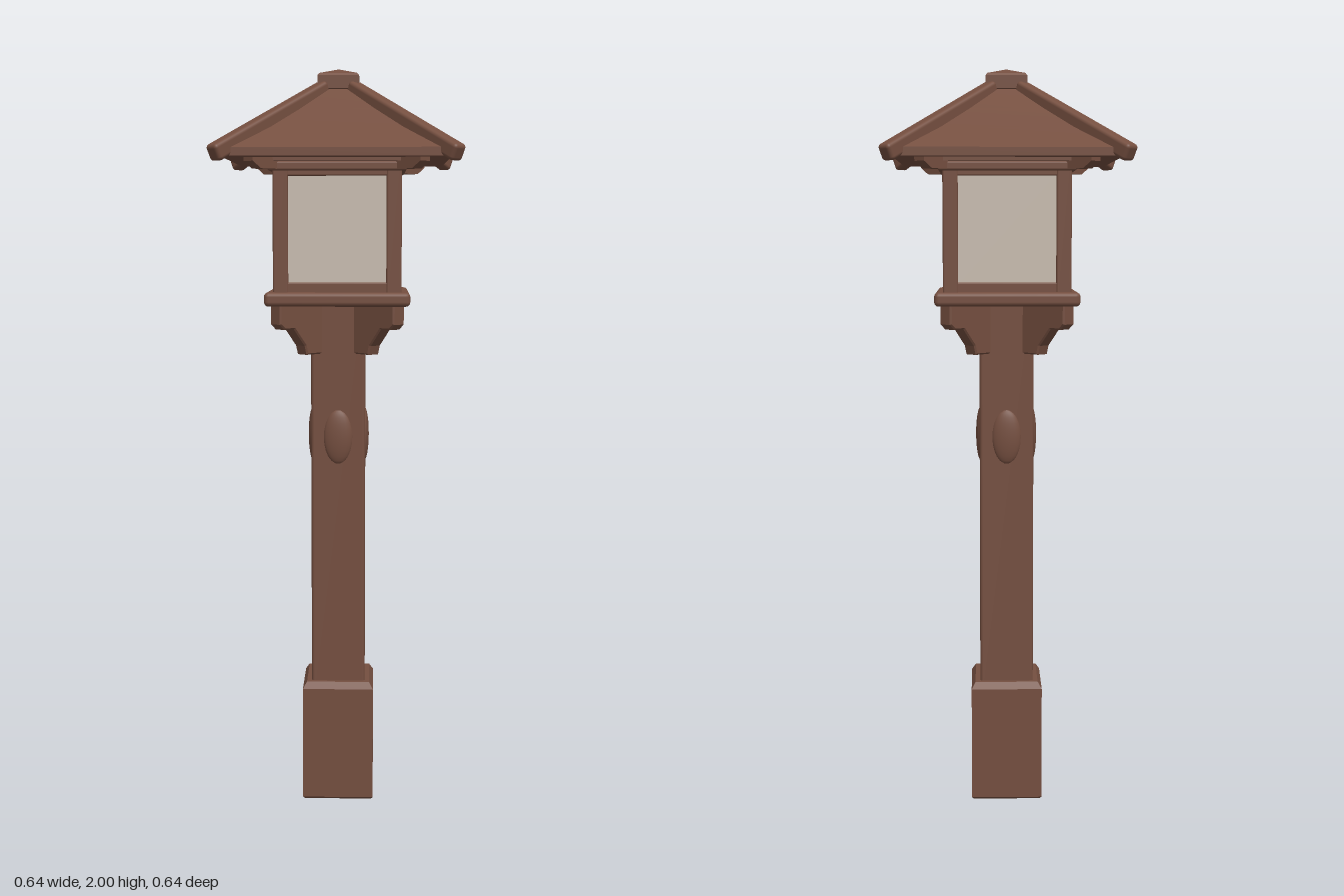
import * as THREE from 'three';
import { RoundedBoxGeometry } from 'three/addons/geometries/RoundedBoxGeometry.js';
import { toCreasedNormals } from 'three/addons/utils/BufferGeometryUtils.js';

export function createModel() {
  const model = new THREE.Group();
  model.name = 'lanternPost';

  const wood = new THREE.MeshStandardMaterial({ color: 0x754f40 });
  wood.name = 'brown wood';
  const paper = new THREE.MeshStandardMaterial({ color: 0xc9bdb0 });
  paper.name = 'pale panel';

  const add = (name, geometry, parent = model, material = wood) => {
    const mesh = new THREE.Mesh(geometry, material);
    mesh.name = name;
    parent.add(mesh);
    return mesh;
  };
  // Soft-edged box between two heights
  const block = (name, w, d, y0, y1, r, parent) => {
    const mesh = add(name, new RoundedBoxGeometry(w, y1 - y0, d, 2, r), parent);
    mesh.position.y = (y0 + y1) / 2;
    return mesh;
  };
  // Square ring surface from a profile of [half width, height], listed bottom to top on the outside
  const squareLathe = (profile) => {
    const points = profile.map(([h, y]) => new THREE.Vector2(h * Math.SQRT2, y));
    return toCreasedNormals(new THREE.LatheGeometry(points, 4, Math.PI / 4), 0.35);
  };

  // Foot and post
  add('foot', squareLathe([
    [0, 0], [0.092, 0], [0.097, 0.006], [0.097, 0.318], [0.086, 0.336], [0, 0.336],
  ]));
  block('post', 0.146, 0.146, 0.3, 1.39, 0.008);

  // Low swellings on the post faces
  for (let i = 0; i < 4; i++) {
    const a = i * Math.PI / 2;
    const knot = add('postKnot', new THREE.SphereGeometry(1, 20, 12));
    knot.scale.set(0.04, 0.075, i % 2 ? 0.013 : 0.015);
    knot.position.set(Math.sin(a) * 0.07, 1.02, Math.cos(a) * 0.07);
    knot.rotation.y = a;
  }

  // Diagonal brackets under the platform
  const bracketShape = new THREE.Shape();
  bracketShape.moveTo(0.05, 1.39);
  bracketShape.lineTo(0.226, 1.39);
  bracketShape.lineTo(0.226, 1.332);
  bracketShape.lineTo(0.212, 1.32);
  bracketShape.lineTo(0.178, 1.32);
  bracketShape.quadraticCurveTo(0.162, 1.3, 0.138, 1.272);
  bracketShape.lineTo(0.132, 1.25);
  bracketShape.lineTo(0.05, 1.25);
  bracketShape.closePath();
  const bracketGeo = new THREE.ExtrudeGeometry(bracketShape, {
    depth: 0.034, bevelEnabled: true, bevelSize: 0.004, bevelThickness: 0.004, bevelSegments: 1,
  }).translate(0, 0, -0.017);

  // Rafter tails under the roof corners
  const tailShape = new THREE.Shape();
  tailShape.moveTo(0.16, 1.732);
  tailShape.lineTo(0.29, 1.732);
  tailShape.lineTo(0.318, 1.75);
  tailShape.lineTo(0.318, 1.79);
  tailShape.lineTo(0.16, 1.85);
  tailShape.closePath();
  const tailGeo = new THREE.ExtrudeGeometry(tailShape, { depth: 0.036, bevelEnabled: false })
    .translate(0, 0, -0.018);

  // Ridge poles, running down from the cap past the eave corners
  const top = new THREE.Vector3(0.05, 1.947, 0);
  const tip = new THREE.Vector3(0.434, 1.764, 0);
  const ridgeLength = top.distanceTo(tip);
  const ridgeGeo = new RoundedBoxGeometry(ridgeLength, 0.044, 0.042, 3, 0.01);

  for (let i = 0; i < 4; i++) {
    const corner = new THREE.Group();
    corner.name = 'corner';
    corner.rotation.y = Math.PI / 4 + i * Math.PI / 2;
    model.add(corner);
    add('bracket', bracketGeo, corner);
    add('rafterTail', tailGeo, corner);
    const ridge = add('ridgePole', ridgeGeo, corner);
    ridge.position.copy(top).lerp(tip, 0.5);
    ridge.rotation.z = Math.atan2(tip.y - top.y, tip.x - top.x);
  }

  // Platform
  block('platform', 0.382, 0.382, 1.378, 1.415, 0.012);

  // Lantern box: pale panels in a wooden frame
  const lantern = new THREE.Group();
  lantern.name = 'lantern';
  model.add(lantern);
  for (let i = 0; i < 4; i++) {
    const side = new THREE.Group();
    side.name = 'lanternSide';
    side.rotation.y = i * Math.PI / 2;
    lantern.add(side);
    const panel = add('panel', new THREE.BoxGeometry(0.27, 0.3, 0.008), side, paper);
    panel.position.set(0, 1.577, 0.156);
    block('lowerRail', 0.27, 0.03, 1.405, 1.44, 0.004, side).position.z = 0.15;
    block('upperRail', 0.27, 0.03, 1.715, 1.75, 0.004, side).position.z = 0.15;
    block('cornerPost', 0.04, 0.04, 1.405, 1.76, 0.005, side).position.set(0.148, 1.5825, 0.148);
  }
  block('topFrame', 0.36, 0.36, 1.728, 1.752, 0.006, lantern);

  // Roof with a slightly sagging slope and a stepped underside
  add('roof', squareLathe([
    [0, 1.752], [0.19, 1.752], [0.19, 1.772], [0.215, 1.772], [0.215, 1.79],
    [0.284, 1.757], [0.292, 1.76], [0.292, 1.781], [0.2, 1.836],
    [0.125, 1.889], [0.045, 1.95], [0, 1.95],
  ]));

  // Cap with a shallow pyramid top
  add('cap', squareLathe([
    [0, 1.94], [0.05, 1.94], [0.055, 1.946], [0.055, 1.98], [0.05, 1.986], [0, 2],
  ]));

  return model;
}
